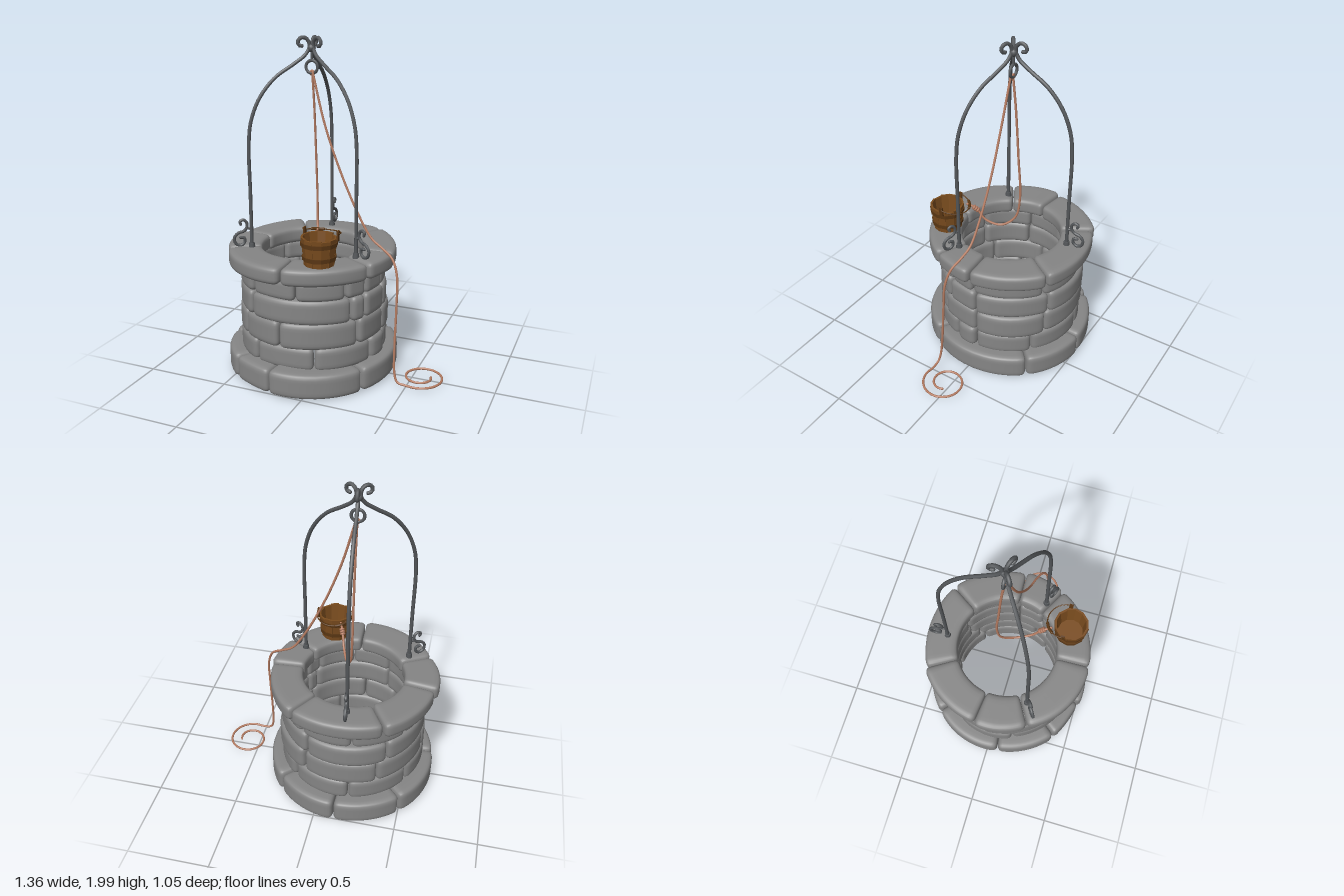
import * as THREE from 'three';
import { mergeVertices } from 'three/addons/utils/BufferGeometryUtils.js';

const CX = -0.14; // axis of the well
const rad = THREE.MathUtils.degToRad;
const mat = (color, side = THREE.FrontSide) => new THREE.MeshStandardMaterial({ color, side });
const V = (x, y, z) => new THREE.Vector3(x, y, z);

let seed = 7;
const rnd = () => ((seed = (seed * 16807) % 2147483647) / 2147483647) * 2 - 1;

function add(parent, name, geometry, material) {
  const m = new THREE.Mesh(geometry, material);
  m.name = name;
  parent.add(m);
  return m;
}

function tube(parent, name, points, radius, material, segs = points.length * 8, sides = 8) {
  const curve = new THREE.CatmullRomCurve3(points);
  const mesh = add(parent, name, new THREE.TubeGeometry(curve, segs, radius, sides), material);
  for (const p of [points[0], points[points.length - 1]]) {
    add(parent, name + 'End', new THREE.SphereGeometry(radius, sides, 6), material).position.copy(p);
  }
  return mesh;
}

// Rounded block bent around the well axis, angles run from +x towards +z
function stone(a0, a1, rIn, rOut, y0, y1) {
  const mid = rad(a0 + a1) / 2, rMid = (rIn + rOut) / 2, bevel = 0.03;
  const half = [(rad(a1 - a0) / 2) * rMid - 0.002, (y1 - y0) / 2, (rOut - rIn) / 2];
  const tilt = rnd() * 0.008, grow = rnd() * 0.012;
  let g = new THREE.BoxGeometry(2, 2, 2, 18, 8, 8);
  g.deleteAttribute('uv');
  g.deleteAttribute('normal');
  g = mergeVertices(g);
  const pos = g.attributes.position, p = V(), q = V();
  for (let i = 0; i < pos.count; i++) {
    p.fromBufferAttribute(pos, i);
    p.set(...p.toArray().map((c, k) => Math.sign(c) * Math.abs(c) ** 0.7 * half[k]));
    q.set(...p.toArray().map((c, k) => THREE.MathUtils.clamp(c, bevel - half[k], half[k] - bevel)));
    p.sub(q);
    if (p.lengthSq() > 0) {
      // only the outer shell of the bevel zone is rounded
      p.setLength(bevel);
    }
    p.add(q);
    const s = p.x / half[0];
    const th = mid - p.x / rMid;
    const r = rMid + p.z + (p.z > 0 ? grow * (1 - s * s) + tilt * s : 0);
    pos.setXYZ(i, CX + r * Math.cos(th), (y0 + y1) / 2 + p.y + tilt * 0.6 * s, r * Math.sin(th));
  }
  g.computeVertexNormals();
  return g;
}

function buildWall(root) {
  const wall = new THREE.Group();
  wall.name = 'stoneWall';
  root.add(wall);
  const grey = mat(0x858585);
  // name, inner radius, outer radius, bottom, top, seam angles
  const courses = [
    ['baseStone', 0.33, 0.52, 0.01, 0.16, [33, 97, 128, 172, 225, 272, 317]],
    ['wallStone', 0.335, 0.445, 0.145, 0.285, [17, 66, 115, 160, 210, 262, 311, 357]],
    ['wallStone', 0.335, 0.45, 0.275, 0.435, [31, 93, 130, 185, 240, 300, 357]],
    ['wallStone', 0.335, 0.45, 0.425, 0.575, [24, 37, 119, 168, 232, 297, 357]],
    ['wallStone', 0.335, 0.44, 0.565, 0.69, [22, 41, 80, 119, 170, 215, 260, 302, 360]],
    ['rimStone', 0.305, 0.51, 0.68, 0.782, [-2, 28, 88, 150, 187, 239, 304]],
  ];
  for (const [name, rIn, rOut, y0, y1, seams] of courses) {
    seams.forEach((a, i) => {
      const next = i + 1 < seams.length ? seams[i + 1] : seams[0] + 360;
      add(wall, name, stone(a, next, rIn, rOut, y0, y1), grey);
    });
  }
}

function buildFrame(root) {
  const frame = new THREE.Group();
  frame.name = 'ironFrame';
  root.add(frame);
  const iron = mat(0x54575a);
  // distance from axis, height
  const arch = [[0.37, 0.77], [0.37, 1.1], [0.37, 1.4], [0.353, 1.53], [0.3, 1.66], [0.21, 1.77],
    [0.1, 1.845], [0.035, 1.895], [0.012, 1.94], [0.022, 1.975], [0.048, 1.99], [0.075, 1.975],
    [0.076, 1.948], [0.055, 1.942]];
  const scroll = [[0.432, 0.922], [0.437, 0.938], [0.42, 0.948], [0.4, 0.935], [0.396, 0.905], [0.415, 0.88],
    [0.45, 0.868], [0.472, 0.84], [0.464, 0.805], [0.435, 0.793], [0.412, 0.812], [0.415, 0.838], [0.436, 0.842]];
  for (const deg of [25, 145, 265]) {
    const c = Math.cos(rad(deg)), s = Math.sin(rad(deg));
    const place = ([r, y]) => V(CX + r * c, y, r * s);
    tube(frame, 'archRod', arch.map(place), 0.011, iron, 96);
    tube(frame, 'footScroll', scroll.map(place), 0.009, iron);
    add(frame, 'footCollar', new THREE.CylinderGeometry(0.017, 0.02, 0.03, 12), iron).position.copy(place([0.37, 0.79]));
    const clip = add(frame, 'scrollClip', new THREE.CylinderGeometry(0.008, 0.008, 0.04, 8), iron);
    clip.position.copy(place([0.385, 0.895]));
    clip.rotation.set(0, -rad(deg), Math.PI / 2);
  }
  add(frame, 'topKnot', new THREE.SphereGeometry(0.024, 14, 10), iron).position.set(CX, 1.93, 0);
  tube(frame, 'ringHanger', [V(CX, 1.93, 0), V(CX, 1.86, 0)], 0.008, iron);
  add(frame, 'ropeRing', new THREE.TorusGeometry(0.036, 0.009, 8, 28), iron).position.set(CX, 1.825, 0);
}

function buildBucket(root) {
  const bucket = new THREE.Group();
  bucket.name = 'bucket';
  bucket.position.set(0.05, 0.78, 0.345);
  root.add(bucket);
  const wood = mat(0x7a4c1e), dark = mat(0x5c3814, THREE.DoubleSide);
  const n = 12, H = 0.16, rBot = 0.083, rTop = 0.099;
  const radiusAt = (y) => rBot + ((rTop - rBot) * y) / H;
  // tapered staves
  for (let i = 0; i < n; i++) {
    const h = H + rnd() * 0.006;
    const g = new THREE.BoxGeometry(1, h, 0.012);
    g.translate(0, h / 2, 0);
    const p = g.attributes.position;
    for (let k = 0; k < p.count; k++) {
      const r = radiusAt(p.getY(k));
      p.setX(k, p.getX(k) * 2 * r * Math.tan(Math.PI / n) * 0.96);
      p.setZ(k, p.getZ(k) + r - 0.006);
    }
    g.computeVertexNormals();
    add(bucket, 'stave', g, wood).rotation.y = ((i + 0.5) / n) * Math.PI * 2;
  }
  add(bucket, 'bucketFloor', new THREE.CylinderGeometry(0.083, 0.08, 0.012, n), wood).position.y = 0.018;
  // hoops
  for (const y of [0.045, 0.125]) {
    const r = radiusAt(y) / Math.cos(Math.PI / n);
    const profile = [[r - 0.004, y - 0.011], [r + 0.005, y - 0.012], [r + 0.007, y + 0.012], [r - 0.004, y + 0.011]];
    const g = new THREE.LatheGeometry(profile.map(([a, b]) => new THREE.Vector2(a, b)), n).toNonIndexed();
    g.computeVertexNormals();
    add(bucket, 'hoop', g, dark);
  }
  // ears and the handle lying over the back edge
  for (const side of [-1, 1]) {
    const ear = add(bucket, 'handleEar', new THREE.BoxGeometry(0.01, 0.06, 0.024), dark);
    ear.position.set(side * 0.1, 0.168, -0.03);
    ear.rotation.z = -side * 0.08;
  }
  const handle = [];
  for (let i = 0; i <= 10; i++) {
    const a = (i / 10) * Math.PI;
    handle.push(V(-0.107 * Math.cos(a), 0.18 - 0.02 * Math.sin(a), -0.035 - 0.11 * Math.sin(a)));
  }
  tube(bucket, 'handle', handle, 0.0035, dark, 40, 6);
  tube(bucket, 'handleGrip', handle.slice(2, 5), 0.009, dark, 10, 8);
}

function buildRope(root) {
  const rope = mat(0xb57c62);
  // slack end tied to the bucket handle
  tube(root, 'bucketRope', [V(-0.137, 1.795, 0), V(-0.136, 1.6, -0.022), V(-0.136, 1.3, -0.044), V(-0.136, 1.02, -0.06),
    V(-0.125, 0.88, -0.035), V(-0.085, 0.82, 0.04), V(-0.05, 0.845, 0.13), V(-0.03, 0.92, 0.185),
    V(-0.008, 0.945, 0.235)], 0.007, rope, 90);
  for (const t of [0, 0.012, 0.024]) {
    const knot = add(root, 'ropeKnot', new THREE.TorusGeometry(0.01, 0.007, 8, 14), rope);
    knot.position.set(-0.033 + t * 0.4, 0.91 + t * 0.7, 0.175 + t * 0.9);
    knot.lookAt(0.0, 0.97, 0.25);
  }
  add(root, 'ropeLoop', new THREE.TorusGeometry(0.012, 0.006, 8, 16), rope).position.set(-0.137, 1.792, 0);
  // long end draped over the rim and coiled on the floor
  const path = [V(-0.13, 1.795, 0.01), V(-0.05, 1.5, 0.022), V(0.05, 1.23, 0.025), V(0.17, 0.98, 0.032),
    V(0.25, 0.86, 0.04), V(0.32, 0.815, 0.055), V(0.39, 0.765, 0.08), V(0.425, 0.67, 0.1), V(0.43, 0.5, 0.115),
    V(0.43, 0.25, 0.135), V(0.437, 0.1, 0.15), V(0.458, 0.045, 0.158)];
  for (let i = 0; i <= 20; i++) {
    const t = i / 20, a = rad(112 - 490 * t), r = 0.145 - 0.088 * t;
    path.push(V(0.565 + r * Math.cos(a), 0.034, 0.025 + r * Math.sin(a)));
  }
  tube(root, 'coiledRope', path, 0.007, rope, 220);
}

export function createModel() {
  seed = 7;
  const root = new THREE.Group();
  root.name = 'well';
  buildWall(root);
  buildFrame(root);
  buildBucket(root);
  buildRope(root);
  return root;
}
